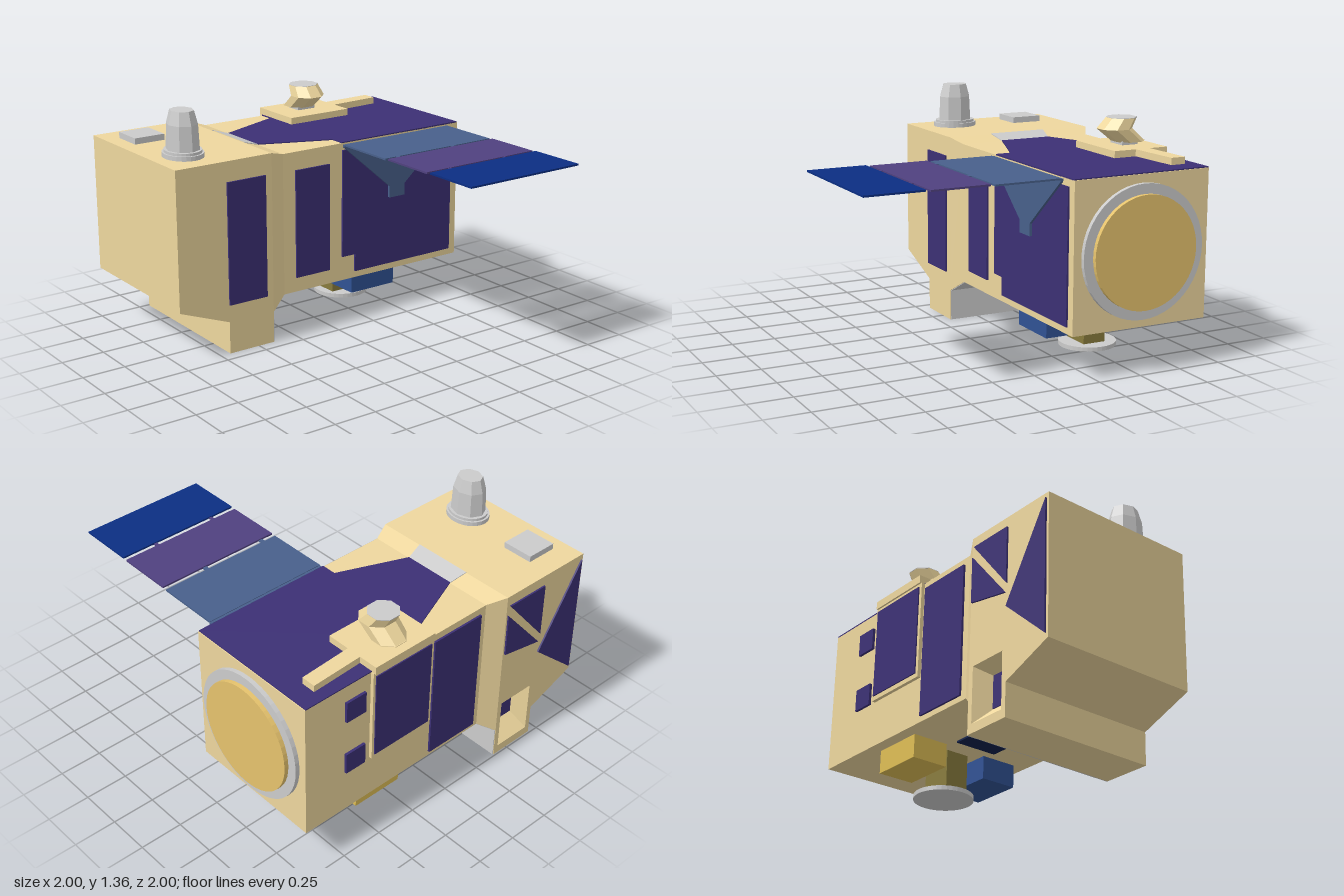
import * as THREE from 'three';

const mat = (color) => new THREE.MeshStandardMaterial({ color, flatShading: true, side: THREE.DoubleSide });
const tan = mat(0xeed79e), grey = mat(0xcccccc), navy = mat(0x3c3075), gold = mat(0xe6c36d);
const blue = mat(0x305294), yellow = mat(0xdebd55), olive = mat(0x887b3d), darkNavy = mat(0x10204a);
const wingColors = [mat(0x48608b), mat(0x50417f), mat(0x0b2e83)];

export function createModel() {
  const model = new THREE.Group();

  const add = (name, geometry, material) => {
    const mesh = new THREE.Mesh(geometry, material);
    mesh.name = name;
    model.add(mesh);
    return mesh;
  };

  // Box given by its limits on each axis
  const box = (name, material, x0, x1, y0, y1, z0, z1) =>
    add(name, new THREE.BoxGeometry(x1 - x0, y1 - y0, z1 - z0), material)
      .position.set((x0 + x1) / 2, (y0 + y1) / 2, (z0 + z1) / 2);

  const toShape = (pts) => new THREE.Shape(pts.map(([x, y]) => new THREE.Vector2(x, y)));

  // Outline in x, y with thickness from z0 to z1
  const plate = (name, material, pts, z0, z1, hole) => {
    const shape = toShape(pts);
    if (hole) shape.holes.push(toShape(hole));
    const g = new THREE.ExtrudeGeometry(shape, { depth: z1 - z0, bevelEnabled: false });
    add(name, g.translate(0, 0, z0), material);
  };

  // Outline in x, z with thickness from y0 to y1
  const deck = (name, material, pts, y0, y1) => {
    const shape = toShape(pts.map(([x, z]) => [x, -z]));
    const g = new THREE.ExtrudeGeometry(shape, { depth: y1 - y0, bevelEnabled: false });
    add(name, g.rotateX(-Math.PI / 2).translate(0, y0, 0), material);
  };

  // Surface joining rings of points
  const loft = (name, material, rings) => {
    const pos = [];
    for (let r = 0; r < rings.length - 1; r++) {
      const a = rings[r], b = rings[r + 1], n = a.length;
      for (let i = 0; i < n; i++) {
        const j = (i + 1) % n;
        pos.push(...a[i], ...a[j], ...b[j], ...a[i], ...b[j], ...b[i]);
      }
    }
    const g = new THREE.BufferGeometry();
    g.setAttribute('position', new THREE.Float32BufferAttribute(pos, 3));
    g.computeVertexNormals();
    add(name, g, material);
  };

  // Rear section with foot; the back slab holds the niche
  const rear = [[-1, 1.1], [-1, 0.305], [-0.69, 0.185], [-0.69, 0], [-0.4, 0], [-0.4, 1.1]];
  const nicheOuter = [[-0.66, 0.05], [-0.43, 0.05], [-0.43, 0.36], [-0.66, 0.36]];
  const nicheInner = [[-0.62, 0.14], [-0.48, 0.14], [-0.48, 0.32], [-0.62, 0.32]];
  plate('rearSection', tan, rear, -0.89, -0.07);
  plate('rearBackSlab', tan, rear, -0.99, -0.89, nicheOuter);
  loft('nicheLining', tan, [nicheOuter.map(([x, y]) => [x, y, -0.99]), nicheInner.map(([x, y]) => [x, y, -0.895])]);
  plate('nichePanel', navy, nicheInner, -0.9, -0.89);
  box('footPlate', grey, -0.402, -0.396, 0, 0.18, -0.987, -0.073);

  // Tapered neck and main body
  const ring = (x, y0, y1, z0, z1) => [[x, y0, z0], [x, y0, z1], [x, y1, z1], [x, y1, z0]];
  loft('neck', tan, [ring(-0.4, 0.18, 1.1, -0.99, -0.07), ring(-0.3, 0.25, 1.07, -0.93, -0.11)]);
  loft('neckUnderside', grey, [ring(-0.4, 0.176, 0.182, -0.985, -0.075), ring(-0.3, 0.246, 0.252, -0.925, -0.115)]);
  loft('neckTopStrip', grey, [ring(-0.4, 1.09, 1.104, -0.69, -0.34), ring(-0.3, 1.06, 1.074, -0.67, -0.36)]);
  box('mainBody', tan, -0.3, 0.95, 0.25, 1.07, -0.93, -0.11);

  // Front face panels
  box('frontPanel', navy, -0.69, -0.445, 0.285, 0.985, -0.07, -0.06);
  box('frontPanel', navy, -0.22, 0.01, 0.335, 0.965, -0.11, -0.1);
  plate('frontPanel', navy,
    [[0.1, 1.03], [0.1, 0.395], [0.19, 0.395], [0.19, 0.29], [0.9, 0.29], [0.9, 1.03]], -0.11, -0.1);

  // Back face panels
  plate('backTriangle', navy, [[-0.42, 1.04], [-0.69, 1.04], [-0.69, 0.72]], -1, -0.99);
  plate('backTriangle', navy, [[-0.41, 0.98], [-0.41, 0.72], [-0.68, 0.67]], -1, -0.99);
  plate('backTriangle', navy, [[-0.985, 1.07], [-0.69, 0.59], [-0.985, 0.33]], -1, -0.99);
  box('backPanel', navy, -0.26, 0.08, 0.28, 1.03, -0.942, -0.93);
  box('backPanelFrame', tan, 0.1, 0.52, 0.51, 1.07, -0.95, -0.93);
  box('backPanel', navy, 0.12, 0.505, 0.535, 1.05, -0.957, -0.95);
  for (const y of [0.51, 0.85]) box('backWindow', navy, 0.56, 0.69, y, y + 0.125, -0.945, -0.93);

  // Top covering and antenna mount
  deck('topCovering', navy,
    [[-0.3, -0.67], [-0.3, -0.36], [0.1, -0.2], [0.1, -0.11], [0.945, -0.11], [0.945, -0.93], [0.1, -0.93], [0.1, -0.835]],
    1.068, 1.076);
  box('antennaPlate', tan, 0.105, 0.515, 1.07, 1.115, -0.96, -0.62);
  deck('topBar', tan, [[0.51, -0.845], [0.51, -0.755], [0.83, -0.775], [0.83, -0.86]], 1.07, 1.115);
  box('antennaPedestal', grey, 0.25, 0.37, 1.115, 1.14, -0.86, -0.76);

  // Bent octagonal antenna
  const octagon = (y, z, r) => Array.from({ length: 8 }, (_, i) => {
    const a = (i + 0.5) * Math.PI / 4;
    return [0.308 + r * 1.06 * Math.cos(a), y, z + r * 1.06 * Math.sin(a)];
  });
  const top = octagon(1.265, -0.79, 0.083), bottom = octagon(1.13, -0.835, 0.09);
  loft('antenna', tan, [bottom, octagon(1.205, -0.745, 0.095), top]);
  deck('antennaCap', grey, top.map(([x, , z]) => [x, z]), 1.262, 1.267);
  deck('antennaBase', tan, bottom.map(([x, , z]) => [x, z]), 1.13, 1.133);

  // Chimney-like port and hatch on the rear section
  const portPart = (name, r1, r0, y0, y1, sides) => {
    const mesh = add(name, new THREE.CylinderGeometry(r1, r0, y1 - y0, sides), grey);
    mesh.position.set(-0.815, (y0 + y1) / 2, -0.305);
    mesh.scale.z = 1.18;
  };
  portPart('portFlange', 0.11, 0.11, 1.1, 1.125, 28);
  portPart('portCollar', 0.1, 0.1, 1.125, 1.14, 28);
  portPart('portColumn', 0.083, 0.09, 1.12, 1.28, 8);
  portPart('portTip', 0.064, 0.083, 1.28, 1.355, 8);
  box('topHatch', grey, -0.91, -0.725, 1.1, 1.135, -0.85, -0.665);

  // Round end cover
  const endDisc = (name, material, r, x1) => {
    const g = new THREE.CylinderGeometry(r, r, x1 - 0.95, 48).rotateZ(-Math.PI / 2);
    add(name, g, material).position.set((0.95 + x1) / 2, 0.66, -0.52);
  };
  endDisc('endRing', grey, 0.365, 0.975);
  endDisc('endCover', gold, 0.31, 1);

  // Underside equipment
  box('blueUnit', blue, 0.23, 0.54, 0.12, 0.25, -0.4, -0.19);
  box('yellowUnit', yellow, 0.23, 0.54, 0.12, 0.25, -0.86, -0.65);
  box('undersideColumn', olive, 0.29, 0.48, 0.03, 0.25, -0.6, -0.465);
  add('undersideDish', new THREE.CylinderGeometry(0.163, 0.163, 0.024, 36), grey).position.set(0.4, 0.02, -0.535);
  box('undersidePanel', darkNavy, -0.17, 0.14, 0.23, 0.24, -0.65, -0.4);

  // Folding wing with bracket and hinges
  plate('wingBracket', wingColors[0],
    [[0.1, 1.065], [0.1, 1.05], [0.425, 0.77], [0.425, 0.7], [0.535, 0.7], [0.535, 0.77], [0.855, 1.05], [0.855, 1.065]],
    -0.098, -0.083);
  [[-0.083, 0.29], [0.315, 0.645], [0.67, 1]].forEach(([z0, z1], i) =>
    box('wingPanel', wingColors[i], 0.1, 0.853, 1.058 + i * 0.004, 1.068 + i * 0.004, z0, z1));
  for (const x of [0.185, 0.575]) box('wingHinge', wingColors[0], x - 0.012, x + 0.012, 1.06, 1.068, 0.28, 0.325);
  for (const x of [0.255, 0.64]) box('wingHinge', wingColors[1], x - 0.01, x + 0.01, 1.064, 1.071, 0.635, 0.68);

  return model;
}
